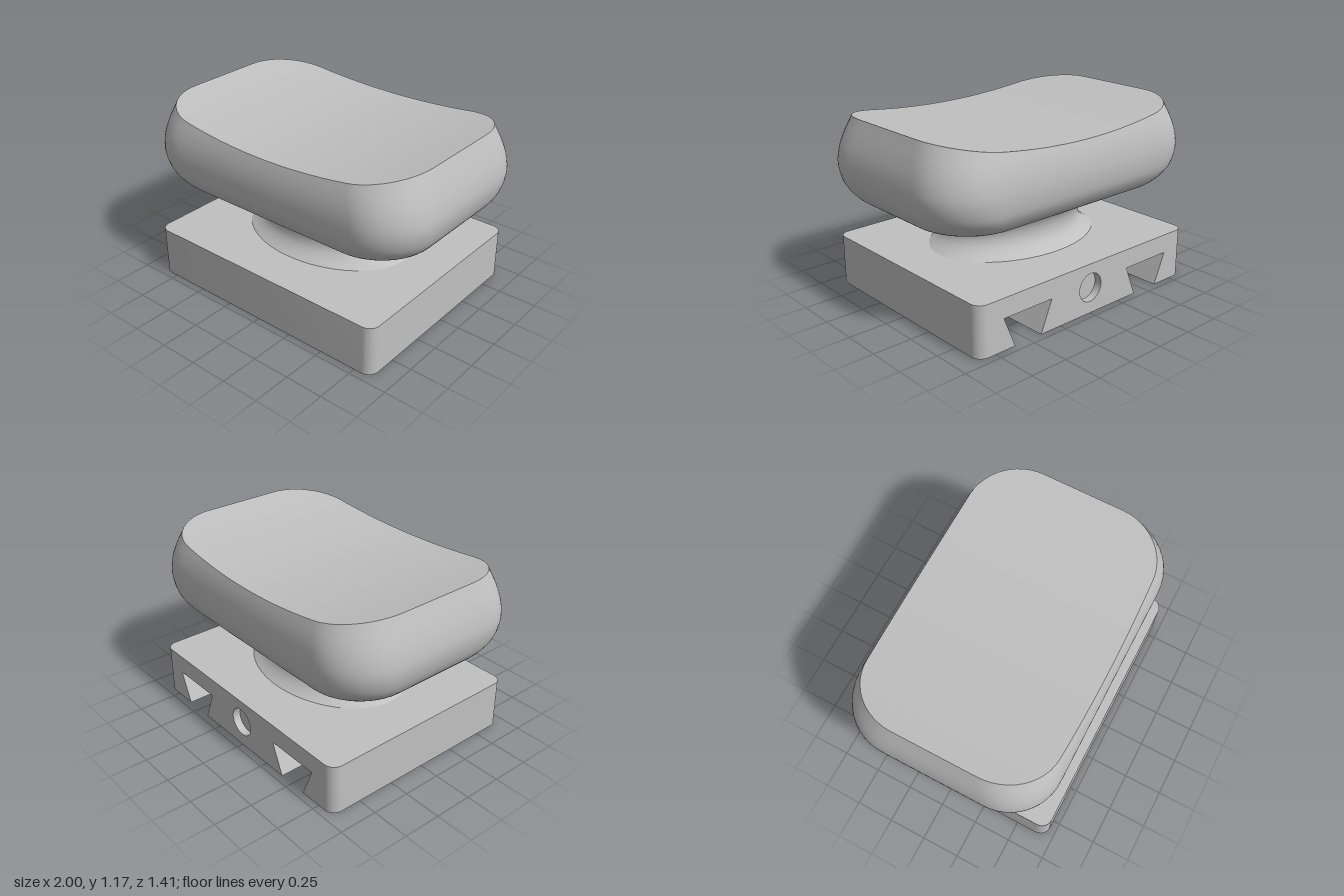
import * as THREE from 'three';
import { toCreasedNormals } from 'three/addons/utils/BufferGeometryUtils.js';

// Closed loft through rows of points; every row has the same number of points
function loft(rows) {
  const n = rows[0].length, index = [];
  for (let i = 0; i < rows.length - 1; i++) {
    for (let j = 0; j < n; j++) {
      const k = (j + 1) % n;
      const a = i * n + j, b = a + n, c = i * n + k, d = c + n;
      index.push(a, b, c, c, b, d);
    }
  }
  const geo = new THREE.BufferGeometry();
  geo.setAttribute('position', new THREE.Float32BufferAttribute(rows.flat(2), 3));
  geo.setIndex(index);
  geo.computeVertexNormals();
  return geo;
}

// Half widths [x, z] by height, smoothed through a few [halfX, y, halfZ] points
function profile(points) {
  const samples = new THREE.CatmullRomCurve3(points.map(p => new THREE.Vector3(...p))).getPoints(80);
  return y => {
    let i = 1;
    while (i < samples.length - 1 && samples[i].y < y) i++;
    const a = samples[i - 1], b = samples[i];
    const t = THREE.MathUtils.clamp((y - a.y) / (b.y - a.y), 0, 1);
    return [a.x + (b.x - a.x) * t, a.z + (b.z - a.z) * t];
  };
}

// Rounded rectangle as [straight part x, z, arc part x, z]
function roundedOutline(arcSteps = 12, edgeSteps = 16) {
  const out = [];
  const corners = [[1, 1], [-1, 1], [-1, -1], [1, -1]];
  corners.forEach(([cx, cz], q) => {
    for (let i = 0; i <= arcSteps; i++) {
      const a = (q + i / arcSteps) * Math.PI / 2;
      out.push([cx, cz, Math.cos(a), Math.sin(a)]);
    }
    const [nx, nz] = corners[(q + 1) % 4], a = (q + 1) * Math.PI / 2;
    for (let i = 1; i < edgeSteps; i++) {
      const t = i / edgeSteps;
      out.push([cx + (nx - cx) * t, cz + (nz - cz) * t, Math.cos(a), Math.sin(a)]);
    }
  });
  return out;
}

export function createModel() {
  const model = new THREE.Group();
  const grey = new THREE.MeshStandardMaterial({ color: 0xc0c0c0 });
  grey.name = 'grey';
  const add = (name, geo, parent = model) => {
    const mesh = new THREE.Mesh(geo, grey);
    mesh.name = name;
    parent.add(mesh);
    return mesh;
  };

  // Base: a U-shaped rim around a core with two dovetail slots
  const H = 0.325, W = 0.87, D = 0.705, R = 0.07, SLOT_END = 0.41;
  const ix = W - R, iz = D - R, P = Math.PI;
  const base = new THREE.Group();
  base.name = 'base';
  model.add(base);

  const rim = new THREE.Shape();
  rim.moveTo(-ix, D);
  rim.absarc(-ix, iz, R, P / 2, P);
  rim.absarc(-ix, -iz, R, P, 1.5 * P);
  rim.absarc(ix, -iz, R, 1.5 * P, 2 * P);
  rim.absarc(ix, iz, R, 0, P / 2);
  rim.lineTo(ix, -SLOT_END);
  rim.lineTo(-ix, -SLOT_END);
  const rimGeo = new THREE.ExtrudeGeometry(rim, { depth: H, bevelEnabled: false, curveSegments: 8 });
  rimGeo.rotateX(-P / 2);
  add('baseRim', toCreasedNormals(rimGeo, 0.5), base);

  const coreShape = () => {
    const s = new THREE.Shape();
    s.moveTo(-ix, 0);
    for (const cx of [-0.505, 0.505]) {
      s.lineTo(cx - 0.1, 0);
      s.lineTo(cx - 0.183, 0.2);
      s.lineTo(cx + 0.183, 0.2);
      s.lineTo(cx + 0.1, 0);
    }
    s.lineTo(ix, 0);
    s.lineTo(ix, H);
    s.lineTo(-ix, H);
    return s;
  };
  const addCore = (name, shape, z0, z1) => {
    const geo = new THREE.ExtrudeGeometry(shape, { depth: z1 - z0, bevelEnabled: false, curveSegments: 32 });
    geo.translate(0, 0, z0);
    add(name, toCreasedNormals(geo, 0.5), base);
  };
  const holed = coreShape();
  holed.holes.push(new THREE.Path().absarc(0, 0.17, 0.092, 0, 2 * P, true));
  const holeFloor = -D + 0.05;
  addCore('backPlateWithHole', holed, -D, holeFloor);
  addCore('slottedCore', coreShape(), holeFloor, SLOT_END);

  // Neck: waisted oval column
  const neckAt = profile([
    [0.59, 0.325, 0.43], [0.535, 0.36, 0.39], [0.498, 0.4, 0.362], [0.484, 0.44, 0.352],
    [0.492, 0.48, 0.353], [0.52, 0.52, 0.365], [0.565, 0.56, 0.392], [0.64, 0.6, 0.43], [0.7, 0.628, 0.457],
  ]);
  const neckRows = [];
  for (let i = 0; i <= 24; i++) {
    const y = 0.325 + 0.303 * i / 24, [rx, rz] = neckAt(y);
    neckRows.push(Array.from({ length: 64 }, (_, j) => {
      const a = j / 32 * P;
      return [rx * Math.cos(a), y, rz * Math.sin(a)];
    }));
  }
  add('neck', loft(neckRows));

  // Head: bulging cushion, trimmed by a top that dips along x
  const BOTTOM = 0.628, CORNER = 0.33;
  const topAt = x => 1.078 + 0.092 * (x / 0.915) ** 2;
  const headAt = profile([
    [0.83, 0.628, 0.545], [0.885, 0.645, 0.578], [0.93, 0.68, 0.612], [0.975, 0.75, 0.652], [1, 0.86, 0.67],
    [0.99, 0.96, 0.665], [0.965, 1.05, 0.645], [0.94, 1.12, 0.62], [0.92, 1.175, 0.6],
  ]);
  const outline = roundedOutline();
  const headRow = t => outline.map(([cx, cz, ux, uz]) => {
    let x = cx * 0.6, y = 0, z = 0;
    for (let k = 0; k < 12; k++) {
      y = BOTTOM + (topAt(x) - BOTTOM) * t;
      const [hx, hz] = headAt(y);
      x = cx * (hx - CORNER) + ux * CORNER;
      z = cz * (hz - CORNER) + uz * CORNER;
    }
    return [x, y, z];
  });
  const sideRows = [];
  for (let i = 0; i <= 28; i++) sideRows.push(headRow((i / 28) ** 1.5));
  const first = sideRows[0], last = sideRows[28];
  const head = new THREE.Group();
  head.name = 'head';
  model.add(head);
  add('headSide', loft(sideRows), head);

  // Dished top and flat underside
  const topRows = [];
  for (let i = 0; i <= 16; i++) {
    const s = 1 - i / 16;
    topRows.push(last.map(([x, y, z]) => [x * s, i ? topAt(x * s) : y, z * s]));
  }
  add('headTop', loft(topRows), head);
  add('headUnderside', loft([0, 1].map(s => first.map(([x, , z]) => [x * s, BOTTOM, z * s]))), head);

  return model;
}
